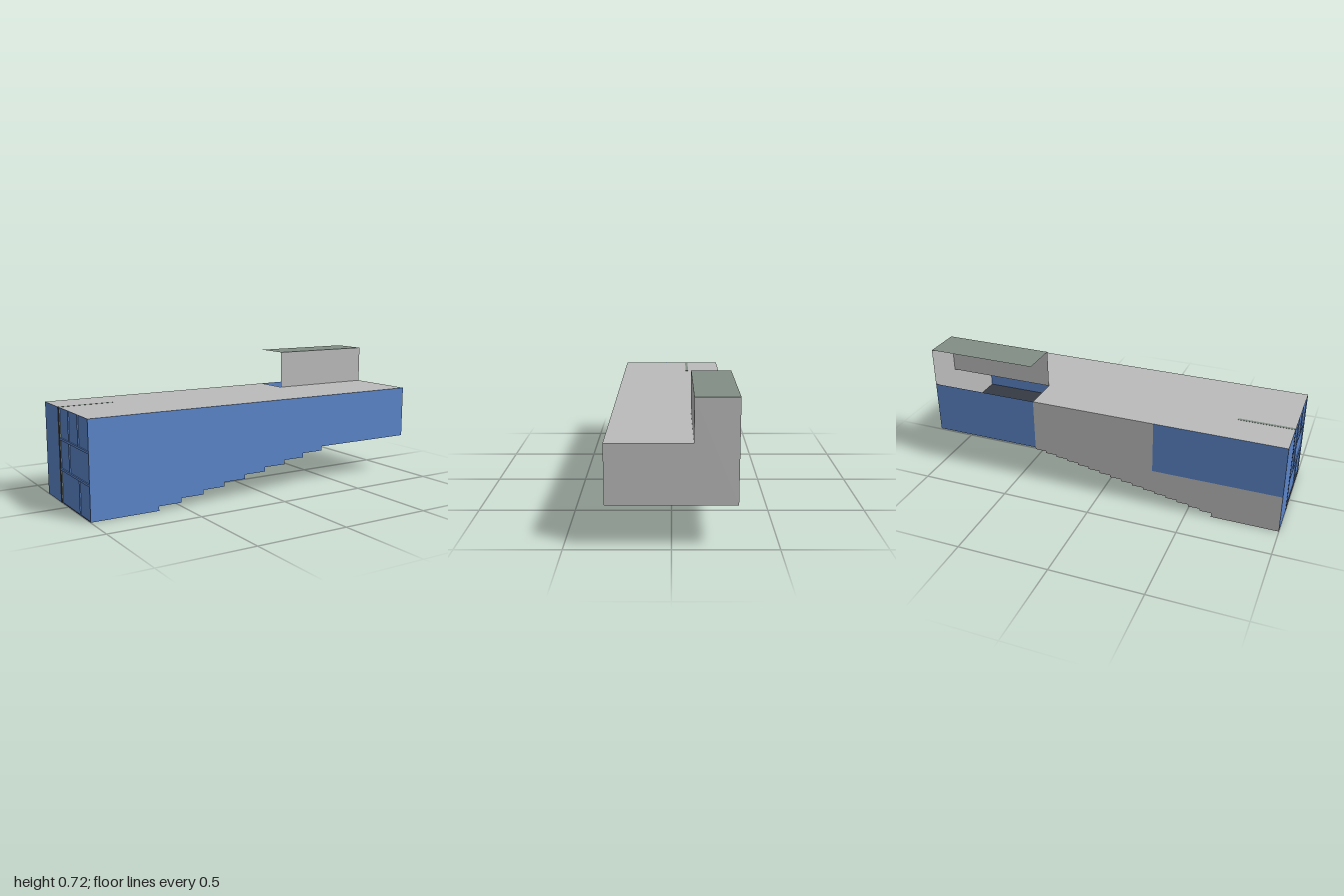
import * as THREE from 'three';

const X = 1, Z = 0.305, AISLE = -0.1;       // half length, half depth, aisle line
const ROOF = 0.505, TOP = 0.715, BASE = 0.215;
const STEP0 = -0.635, STEP1 = 0.39, COUNT = 8;
const RUN = (STEP1 - STEP0) / COUNT, RISE = BASE / (COUNT + 1);

const mat = (name, color) => {
  const m = new THREE.MeshStandardMaterial({ color, side: THREE.DoubleSide });
  m.name = name;
  return m;
};

// Stepped underside line from -x to +x, optionally with half steps
function profile(half) {
  const p = [[-X, 0], [STEP0, 0]];
  for (let i = 0; i < COUNT; i++) {
    const x = STEP0 + i * RUN, y = (i + 1) * RISE;
    p.push([x, y]);
    if (half) p.push([x + RUN / 2, y], [x + RUN / 2, y + RISE / 2], [x + RUN, y + RISE / 2]);
    else p.push([x + RUN, y]);
  }
  p.push([STEP1, BASE], [X, BASE]);
  return p;
}

// Ribbon following a profile between two depths
function ribbon(points, z0, z1) {
  const g = new THREE.PlaneGeometry(1, 1, points.length - 1, 1);
  const pos = g.attributes.position, n = points.length;
  for (let i = 0; i < pos.count; i++) {
    const [x, y] = points[i % n];
    pos.setXYZ(i, x, y, i < n ? z0 : z1);
  }
  const flat = g.toNonIndexed();
  flat.computeVertexNormals();
  return flat;
}

const polygon = pts => new THREE.ShapeGeometry(new THREE.Shape(pts.map(p => new THREE.Vector2(...p))));
const rect = (a, b, c, d) => polygon([[a, b], [c, b], [c, d], [a, d]]);

export function createModel() {
  const model = new THREE.Group();
  const grey = mat('concreteGrey', 0xbbbbbb);
  const blue = mat('glassBlue', 0x5b85c9);
  const dark = mat('floorDark', 0x363a42);
  const green = mat('canopyGreen', 0x828f85);

  const add = (name, geometry, material) => {
    const m = new THREE.Mesh(geometry, material);
    m.name = name;
    model.add(m);
    return m;
  };
  const box = (name, material, x0, x1, y0, y1, z0, z1) =>
    add(name, new THREE.BoxGeometry(x1 - x0, y1 - y0, z1 - z0), material)
      .position.set((x0 + x1) / 2, (y0 + y1) / 2, (z0 + z1) / 2);
  // Polygons given as (x, z) and (z, y)
  const level = (name, pts, y, material) =>
    add(name, polygon(pts.map(([x, z]) => [x, -z])).rotateX(-Math.PI / 2).translate(0, y, 0), material);
  const endWall = (name, pts, x, material) =>
    add(name, polygon(pts.map(([z, y]) => [z, y])).rotateY(-Math.PI / 2).translate(x, 0, 0), material);

  // Stepped floor: wide seating terraces and a finer aisle stair
  add('terraceFloor', ribbon(profile(false), AISLE, Z), dark);
  add('aisleStair', ribbon(profile(true), -Z, AISLE), dark);
  for (let i = 0; i < COUNT; i++) {
    const x = STEP0 + i * RUN, y = (i + 1) * RISE;
    add('stairCheek', rect(x + RUN / 2, y, x + RUN, y + RISE / 2).translate(0, 0, AISLE), dark);
  }

  // Glazed front wall
  add('frontGlazing', polygon([...profile(false), [X, ROOF], [-X, ROOF]]).translate(0, 0, Z), blue);

  // Rear wall: solid part with glazing at both ends
  const under = profile(true).filter(([x]) => x <= STEP1 + 1e-6);
  add('rearWall', polygon([...under, [STEP1, ROOF], [-0.3, ROOF], [-0.3, BASE], [-X, BASE]])
    .translate(0, 0, -Z), grey);
  add('rearGlazing', rect(-X, BASE, -0.3, ROOF).translate(0, 0, -Z), blue);
  add('rearGlazing', rect(STEP1, BASE, X, ROOF).translate(0, 0, -Z), blue);

  // Flat roof with an opening below the canopy
  level('roof', [[-X, -Z], [STEP1, -Z], [STEP1, AISLE], [X, AISLE], [X, Z], [-X, Z]], ROOF, grey);

  // Raised end wall, canopy and its screen wall
  endWall('raisedEndWall', [[-Z, BASE], [Z, BASE], [Z, ROOF], [AISLE, ROOF], [AISLE, TOP], [-Z, TOP]], X, grey);
  add('canopyScreen', rect(STEP1, ROOF, X, TOP).translate(0, 0, AISLE), grey);
  level('canopyRoof', [[STEP1, -Z], [X, -Z], [X, AISLE], [STEP1, AISLE]], TOP, green);

  // Glazed entrance end, slightly recessed beside the partition
  endWall('entranceSideGlazing', [[-Z, 0], [AISLE, 0], [AISLE, ROOF], [-Z, ROOF]], -X, blue);
  endWall('entranceGlazing', [[AISLE, 0], [Z, 0], [Z, ROOF], [AISLE, ROOF]], -X + 0.006, blue);
  for (const y of [0.18, 0.341])
    box('glazingLedge', blue, -X, -X + 0.006, y - 0.006, y + 0.006, AISLE, Z);
  for (const [z, y0, y1] of [[0.035, 0.347, ROOF], [0.165, 0.347, ROOF], [0.035, 0.186, 0.335], [0.165, 0, 0.174]])
    box('glazingMullion', blue, -X, -X + 0.006, y0, y1, z - 0.003, z + 0.003);

  // Partition behind the entrance, with its dark end face
  box('partition', green, -X + 0.002, -0.7, -0.001, ROOF + 0.001, AISLE - 0.008, AISLE + 0.008);
  box('partitionEnd', dark, -X - 0.001, -X + 0.002, 0, ROOF, AISLE - 0.01, AISLE + 0.01);

  return model;
}
